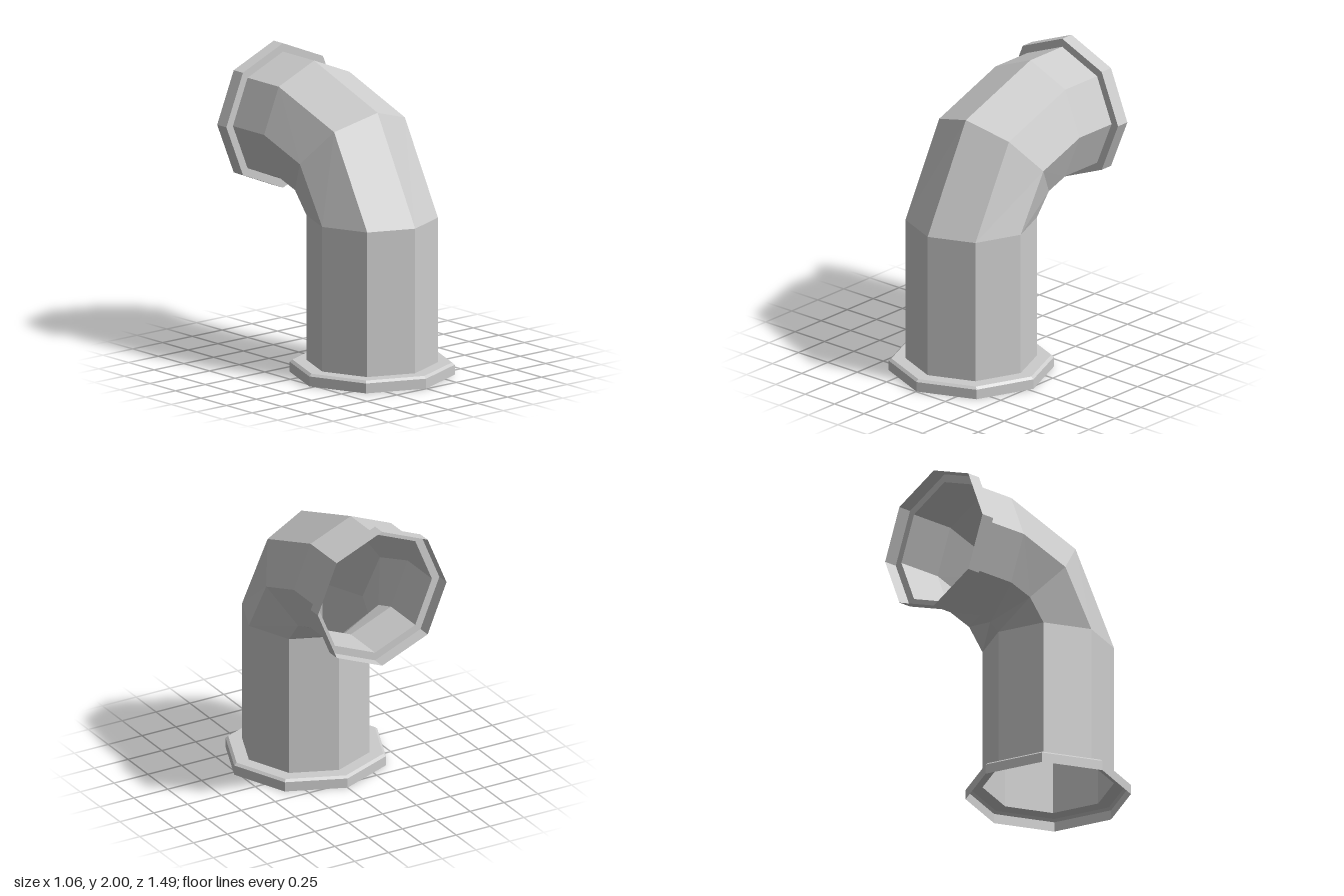
import * as THREE from 'three';

const SIDES = 8;
const material = new THREE.MeshStandardMaterial({
  color: 0xcccccc, flatShading: true, side: THREE.DoubleSide,
});

// Skins octagonal rings. Each ring: centre (y, z), radius r and the tilt of its
// outer side, from 0 (facing +z) to PI / 2 (facing +y).
function skin(name, rings) {
  const point = ({ y, z, r, tilt }, i) => {
    const a = (i / SIDES) * Math.PI * 2;
    const out = r * Math.cos(a);
    return [r * Math.sin(a), y + out * Math.sin(tilt), z + out * Math.cos(tilt)];
  };
  const positions = [];
  for (let k = 0; k < rings.length - 1; k++) {
    for (let i = 0; i < SIDES; i++) {
      const a = point(rings[k], i), b = point(rings[k], i + 1);
      const c = point(rings[k + 1], i + 1), d = point(rings[k + 1], i);
      positions.push(...a, ...b, ...c, ...a, ...c, ...d);
    }
  }
  const geometry = new THREE.BufferGeometry();
  geometry.setAttribute('position', new THREE.Float32BufferAttribute(positions, 3));
  geometry.computeVertexNormals();
  const mesh = new THREE.Mesh(geometry, material);
  mesh.name = name;
  return mesh;
}

// Rings lying flat around the upright pipe, and rings facing back around the outlet
const flat = (y, r) => ({ y, z: 0.218, r, tilt: 0 });
const upright = (z, r) => ({ y: 1.525, z, r, tilt: Math.PI / 2 });

export function createModel() {
  const group = new THREE.Group();
  group.name = 'elbowPipe';
  const R = 0.42;

  // Open pipe: upright run, two-step bend, short run to the back
  group.add(skin('pipe', [
    flat(0.08, R),
    flat(1.03, R),
    { y: 1.4, z: 0, r: R, tilt: 0.87 },
    upright(-0.35, R),
    upright(-0.655, R),
  ]));

  // Hollow base flange with a small bevel
  group.add(skin('baseFlange', [
    flat(0, 0.528), flat(0.065, 0.528), flat(0.08, 0.51), flat(0.08, R),
  ]));

  // Hollow collar around the outlet
  group.add(skin('outletFlange', [
    upright(-0.655, R), upright(-0.655, 0.475), upright(-0.745, 0.475),
  ]));

  return group;
}
